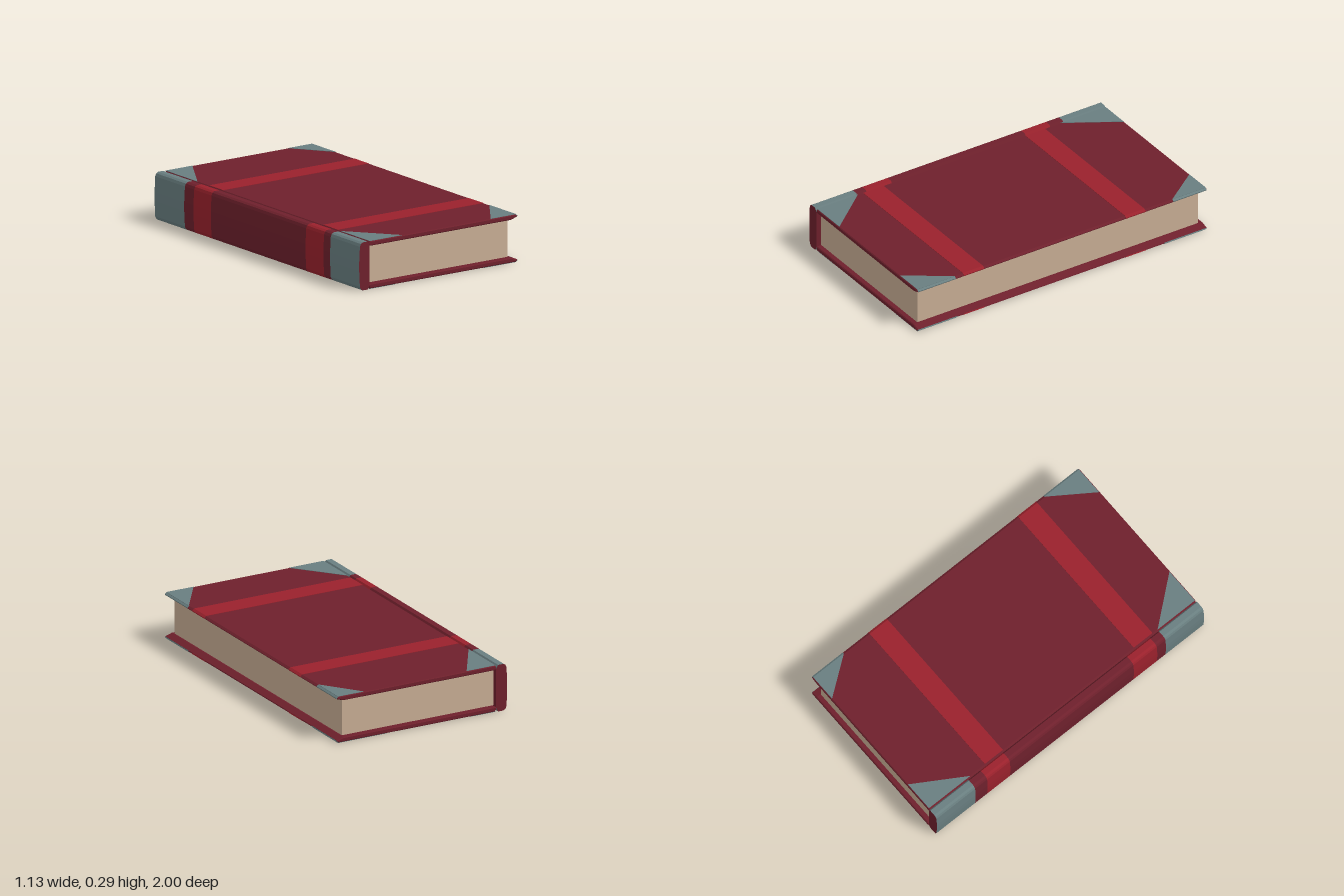
import * as THREE from 'three';

const H = 0.286;      // overall thickness of the book
const SKIN = 0.002;   // thickness of painted plates

const paint = (name, hex) => {
  const m = new THREE.MeshStandardMaterial({ color: hex });
  m.name = name;
  return m;
};

const toShape = (pts) => new THREE.Shape(pts.map(([x, y]) => new THREE.Vector2(x, y)));

// Cross-section in x/y swept along z from z0 to z1, with optional chamfered ends
function sweep(pts, z0, z1, chamfer = 0) {
  const geo = new THREE.ExtrudeGeometry(toShape(pts), {
    depth: z1 - z0 - 2 * chamfer,
    bevelEnabled: chamfer > 0,
    bevelSize: chamfer, bevelThickness: chamfer, bevelOffset: -chamfer, bevelSegments: 1,
  });
  return geo.translate(0, 0, z0 + chamfer);
}

// Thin horizontal plate from an outline in x/z
function plate(pts, y) {
  const geo = new THREE.ExtrudeGeometry(toShape(pts.map(([x, z]) => [x, -z])), {
    depth: SKIN, bevelEnabled: false,
  });
  return geo.rotateX(-Math.PI / 2).translate(0, y, 0);
}

export function createModel() {
  const red = paint('coverRed', 0x6e202c);
  const bright = paint('bandRed', 0x9a212c);
  const teal = paint('cornerGrey', 0x697e80);
  const paper = paint('paper', 0xc8ad94);

  const book = new THREE.Group();
  book.name = 'book';
  const add = (parent, name, geo, mat) => {
    const mesh = new THREE.Mesh(geo, mat);
    mesh.name = name;
    parent.add(mesh);
    return mesh;
  };

  // Page block
  const pages = add(book, 'pages', new THREE.BoxGeometry(1.005, 0.222, 1.94), paper);
  pages.position.set(0.0125, H / 2, 0);

  // Spine, split along its length into colours; the end caps stay red
  const half = [[-0.495, 0.272], [-0.505, H], [-0.54, H], [-0.553, 0.278], [-0.56, 0.262], [-0.565, 0.17]];
  const spineSection = [...half, ...half.map(([x, y]) => [x, H - y]).reverse()];
  const spine = new THREE.Group();
  spine.name = 'spine';
  book.add(spine);
  const cuts = [
    [-1, -0.71, teal], [-0.71, -0.62, red], [-0.62, -0.45, bright], [-0.45, 0.475, red],
    [0.475, 0.65, bright], [0.65, 0.715, red], [0.715, 1, teal],
  ];
  cuts.forEach(([z0, z1, mat], i) =>
    add(spine, `spineSection${i + 1}`, sweep(spineSection, z0, z1), [red, mat]));
  const lining = add(spine, 'spineLining', new THREE.BoxGeometry(0.006, 0.24, 2), red);
  lining.position.set(-0.494, H / 2, 0);

  // Two boards; "flip" maps the upper board's heights to the lower one
  const boardSection = [
    [-0.495, 0.258], [-0.495, 0.272], [-0.485, H - SKIN], [0.552, H - SKIN],
    [0.565, 0.275], [0.563, 0.27], [0.52, 0.256], [-0.48, 0.256],
  ];
  // Corner pieces: side of x, end of z, reach along x and along z
  const corners = {
    upper: [[-1, -1, 0.19, 0.31], [1, -1, 0.17, 0.23], [-1, 1, 0.23, 0.28], [1, 1, 0.18, 0.26]],
    lower: [[-1, -1, 0.16, 0.26], [1, -1, 0.32, 0.29], [-1, 1, 0.18, 0.25], [1, 1, 0.23, 0.27]],
  };
  const bands = [[-0.575, -0.44], [0.54, 0.68]];

  for (const side of ['upper', 'lower']) {
    const flip = (y) => (side === 'upper' ? y : H - y);
    const plateY = side === 'upper' ? H - SKIN : 0;
    const cover = new THREE.Group();
    cover.name = `${side}Cover`;
    book.add(cover);
    add(cover, 'board', sweep(boardSection.map(([x, y]) => [x, flip(y)]), -1, 1, 0.005), red);

    // Paint carried over the chamfered fore edge
    const edge = (name, z0, z1, mat) => add(cover, name, sweep(
      [[0.552, H], [0.566, 0.276], [0.564, 0.27], [0.552, H - 2 * SKIN]].map(([x, y]) => [x, flip(y)]),
      z0, z1), mat);

    bands.forEach(([z0, z1], i) => {
      add(cover, `band${i + 1}`, plate([[-0.485, z0], [0.552, z0], [0.552, z1], [-0.485, z1]], plateY), bright);
      edge(`bandEdge${i + 1}`, z0, z1, bright);
    });

    corners[side].forEach(([sx, sz, lx, lz], i) => {
      const x = sx < 0 ? -0.488 : 0.555;
      const z = sz * 0.996;
      add(cover, `corner${i + 1}`, plate([[x, z], [x - sx * lx, z], [x, z - sz * lz]], plateY), teal);
      if (sx > 0) edge(`cornerEdge${i + 1}`, Math.min(z, z - sz * lz), Math.max(z, z - sz * lz), teal);
    });
  }
  return book;
}
